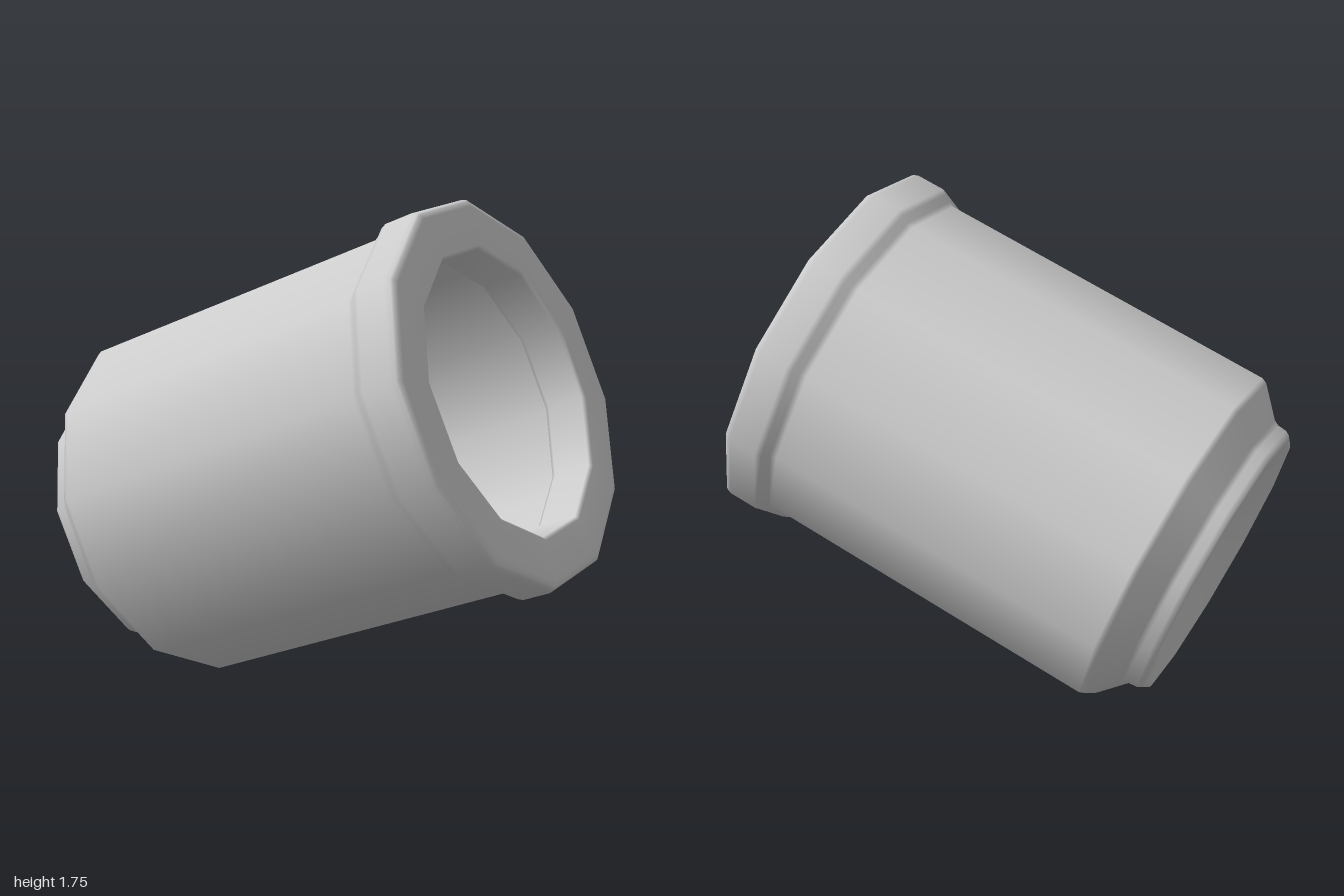
import * as THREE from 'three';

// Hollow twelve-sided cup, tilted, with a thick lip and a dished foot.
const SIDES = 12;
const BEVEL = 0.012;

// Profile corners: radius, height below the lip face
const PROFILE = [
  [0, -1.58], [0.2, -1.58],                    // dished underside
  [0.505, -1.663], [0.53, -1.65],              // foot edge
  [0.535, -1.595], [0.652, -1.49],             // foot step and chamfer
  [0.652, -0.19], [0.69, -0.15],               // outer wall, lip underside
  [0.69, -0.02], [0.67, 0],                    // lip outside
  [0.505, 0], [0.5, -0.16],                    // opening
  [0.6, -0.2], [0.6, -1.37],                   // inner wall
  [0.48, -1.52], [0.46, -1.59],                // inner chamfer and step
  [0.2, -1.535], [0, -1.535],                  // floor
];

// Replace each corner with a narrow bevel so flats stay flat under smooth normals
function bevelled(corners) {
  const p = corners.map(([r, h]) => new THREE.Vector2(r, h));
  const out = [p[0]];
  for (let i = 1; i < p.length - 1; i++) {
    for (const q of [p[i - 1], p[i + 1]]) {
      const d = q.clone().sub(p[i]);
      out.push(p[i].clone().addScaledVector(d.clone().normalize(), Math.min(BEVEL, d.length() * 0.35)));
    }
  }
  out.push(p[p.length - 1]);
  return out;
}

export function createModel() {
  const grey = new THREE.MeshStandardMaterial({ color: 0xcccccc });
  grey.name = 'light grey';

  const cup = new THREE.Mesh(new THREE.LatheGeometry(bevelled(PROFILE), SIDES), grey);
  cup.name = 'cup';

  // Tilt: local y runs along the axis to the lip, local z through a corner
  const axis = new THREE.Vector3(0.205, 0.38, 1).normalize();
  const corner = new THREE.Vector3(0.06, 0.635, -0.254);
  corner.addScaledVector(axis, -corner.dot(axis)).normalize();
  const side = new THREE.Vector3().crossVectors(axis, corner);
  cup.quaternion.setFromRotationMatrix(new THREE.Matrix4().makeBasis(side, axis, corner));
  cup.position.set(0.125, 1.125, 0.73);

  const group = new THREE.Group();
  group.name = 'tiltedCup';
  group.add(cup);
  return group;
}
